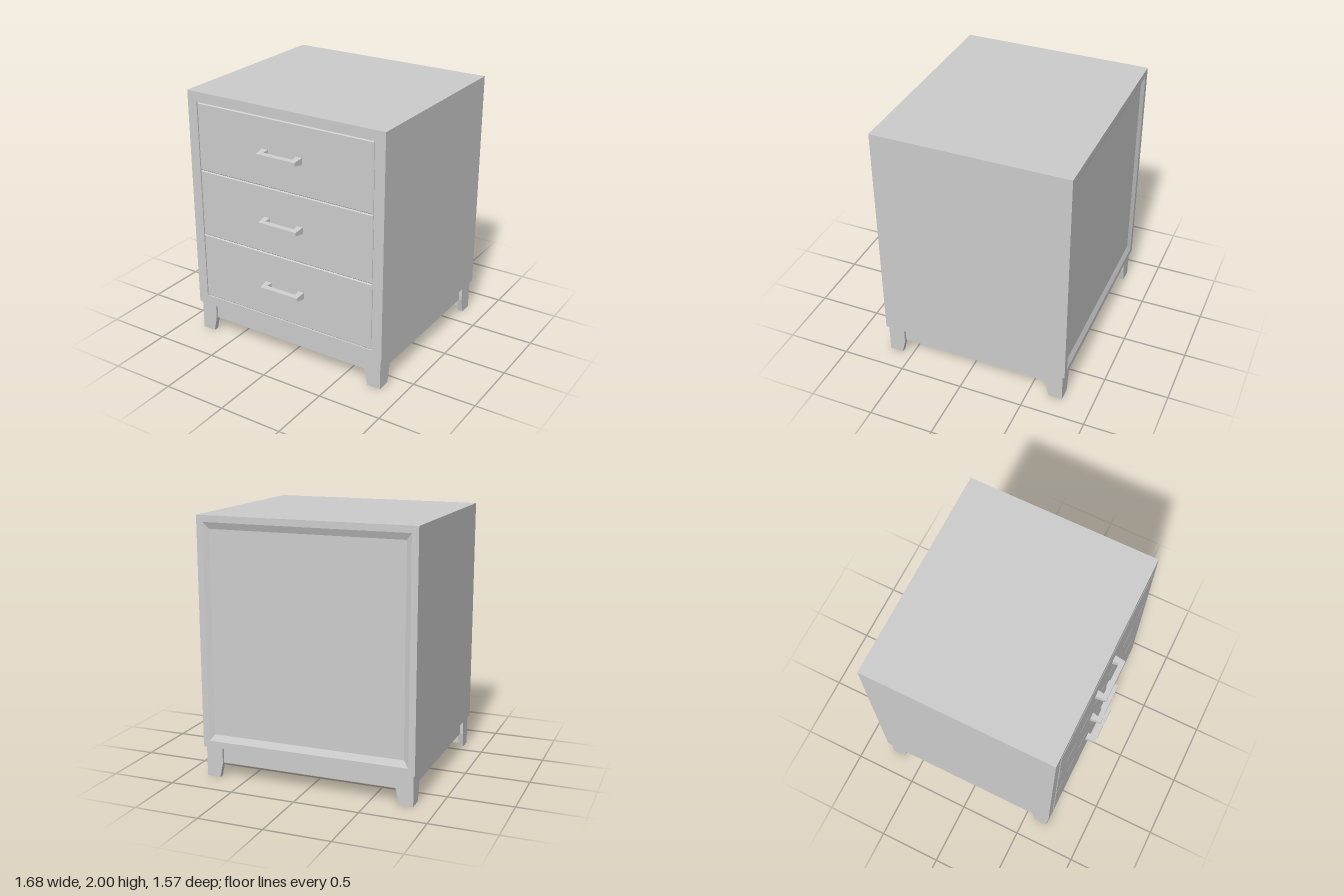
import * as THREE from 'three';

const material = new THREE.MeshStandardMaterial({ color: 0xcccccc, flatShading: true });

// Closed solid through equal rings of points; the first ring runs counter-clockwise seen from its own end.
function loft(rings) {
  const n = rings[0].length;
  const last = (rings.length - 1) * n;
  const index = [];
  for (let r = 0; r < rings.length - 1; r++) {
    for (let i = 0; i < n; i++) {
      const j = (i + 1) % n;
      const a0 = r * n + i, a1 = r * n + j, b0 = a0 + n, b1 = a1 + n;
      index.push(a0, b0, a1, a1, b0, b1);
    }
  }
  for (let i = 1; i < n - 1; i++) {
    index.push(0, i, i + 1, last, last + i + 1, last + i);
  }
  const geometry = new THREE.BufferGeometry();
  geometry.setAttribute('position', new THREE.Float32BufferAttribute(rings.flat(2), 3));
  geometry.setIndex(index);
  const flat = geometry.toNonIndexed();
  flat.computeVertexNormals();
  return flat;
}

// Upright rectangle at depth z
const rect = (x0, x1, y0, y1, z) => [[x1, y0, z], [x1, y1, z], [x0, y1, z], [x0, y0, z]];

function add(parent, name, geometry) {
  const mesh = new THREE.Mesh(geometry, material);
  mesh.name = name;
  parent.add(mesh);
  return mesh;
}

// Bar pull with two flared posts, its back at z = 0
function createHandle() {
  const handle = new THREE.Group();
  handle.name = 'handle';
  const post = (a, b, c, d) => loft([rect(a, b, -0.013, 0.013, 0.082), rect(c, d, -0.026, 0.026, 0)]);
  add(handle, 'leftPost', post(0.132, 0.165, 0.12, 0.172));
  add(handle, 'rightPost', post(-0.165, -0.132, -0.172, -0.12));
  add(handle, 'grip', loft([
    rect(-0.14, 0.14, -0.013, 0.013, 0.082),
    rect(-0.14, 0.14, -0.018, 0.018, 0.045),
  ]));
  return handle;
}

export function createModel() {
  const model = new THREE.Group();
  model.name = 'nightstand';

  // Case: front opening, outer shell and bevelled back panel in one skin
  add(model, 'case', loft([
    rect(-0.758, 0.758, 0.315, 1.923, 0.685),
    rect(-0.758, 0.758, 0.315, 1.923, 0.705),
    rect(-0.84, 0.84, 0.24, 2, 0.705),
    rect(-0.84, 0.84, 0.24, 2, -0.785),
    rect(-0.79, 0.79, 0.29, 1.95, -0.785),
    rect(-0.75, 0.75, 0.34, 1.9, -0.765),
  ]));

  // Drawers with eased edges, each with a handle
  const gap = 0.004, ease = 0.006, pitch = 0.533;
  for (let i = 0; i < 3; i++) {
    const y0 = 0.321 + i * pitch + gap / 2;
    const y1 = y0 + pitch - gap;
    const w = 0.753;
    add(model, 'drawerFront', loft([
      rect(-w + ease, w - ease, y0 + ease, y1 - ease, 0.707),
      rect(-w, w, y0, y1, 0.701),
      rect(-w, w, y0, y1, 0.683),
    ]));
    const handle = createHandle();
    handle.position.set(0, (y0 + y1) / 2, 0.706);
    model.add(handle);
  }

  // Recessed plinth
  add(model, 'plinth', loft([
    rect(-0.8, 0.8, 0.115, 0.24, 0.67),
    rect(-0.8, 0.8, 0.115, 0.24, -0.745),
  ]));

  // Corner legs: angle section, tapering below the plinth
  const t = 0.04;
  const angle = (w, y) => [[0, y, 0], [w, y, 0], [w, y, t], [t, y, t], [t, y, w], [0, y, w]];
  const legGeometry = loft([angle(0.107, 0), angle(0.132, 0.115), angle(0.132, 0.24)]);
  const corners = [[-0.825, -0.765], [-0.825, 0.69], [0.825, 0.69], [0.825, -0.765]];
  corners.forEach(([x, z], i) => {
    const leg = add(model, 'leg', legGeometry);
    leg.position.set(x, 0, z);
    leg.rotation.y = i * Math.PI / 2;
  });

  return model;
}
